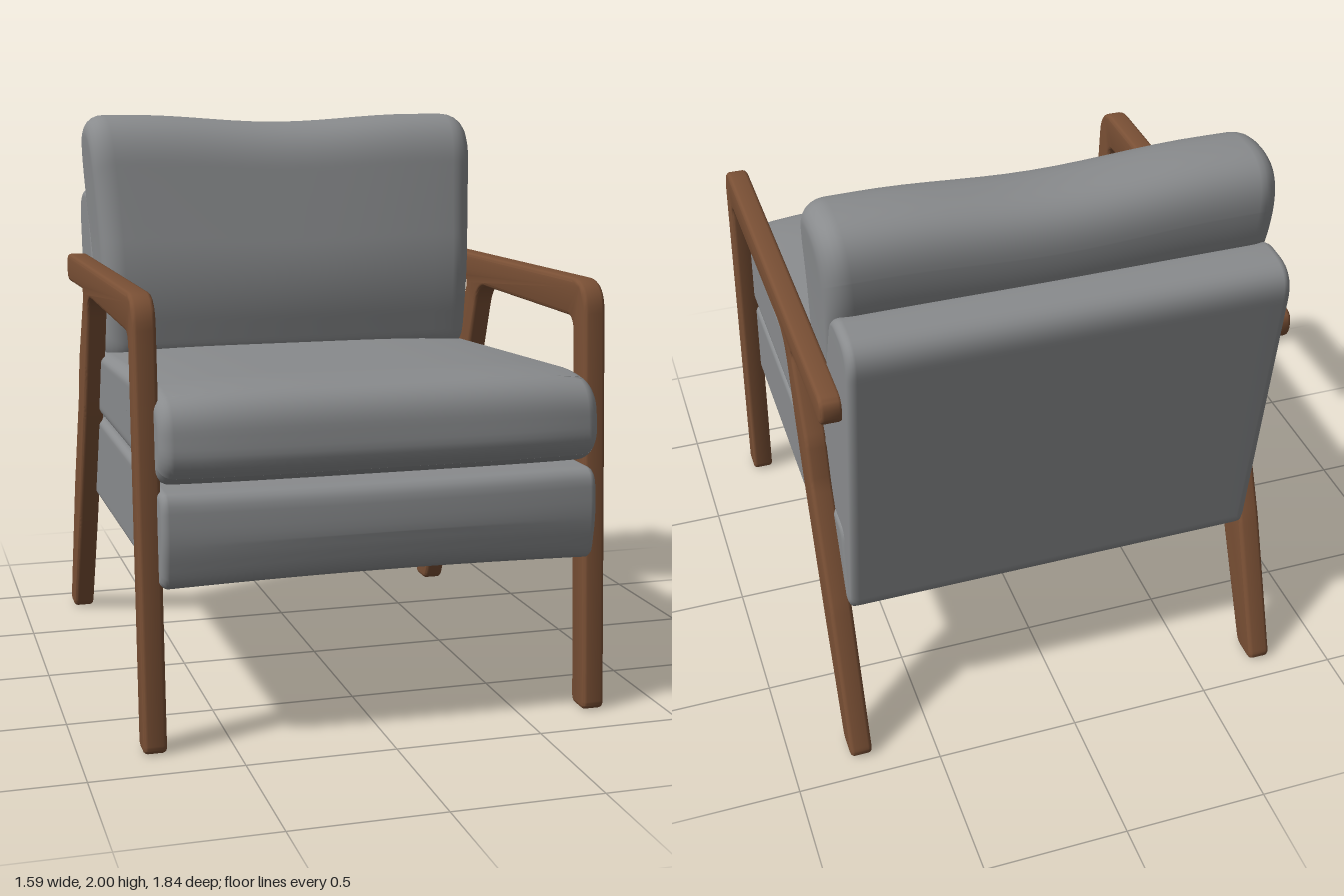
import * as THREE from 'three';
import { toCreasedNormals } from 'three/addons/utils/BufferGeometryUtils.js';

const fabric = new THREE.MeshStandardMaterial({ color: 0x898b8d });
fabric.name = 'grey fabric';
const wood = new THREE.MeshStandardMaterial({ color: 0x7a5035 });
wood.name = 'brown wood';

// Closed side outline from [z, y, cornerLength] points, with rounded corners
function roundedOutline(points) {
  const shape = new THREE.Shape();
  points.forEach(([z, y, r], i) => {
    const corner = new THREE.Vector2(z, y);
    const toward = (p) =>
      corner.clone().add(new THREE.Vector2(p[0] - z, p[1] - y).normalize().multiplyScalar(r));
    const a = toward(points.at(i - 1));
    const b = toward(points[(i + 1) % points.length]);
    if (i === 0) shape.moveTo(a.x, a.y);
    else shape.lineTo(a.x, a.y);
    shape.quadraticCurveTo(z, y, b.x, b.y);
  });
  shape.closePath();
  return shape;
}

// Soft block: a side outline swept across x, its ends rounded by r, then shaped by warp
function cushion(name, outline, half, r, warp = () => {}) {
  const profile = roundedOutline(outline).getSpacedPoints(160).slice(0, -1);
  const box = new THREE.Box2().setFromPoints(profile);
  const mid = box.getCenter(new THREE.Vector2());
  const size = box.getSize(new THREE.Vector2());

  // Rings of one end, from the cap centre outwards: [x, inset, scale]
  const end = [[half, r, 0.001], [half, r, 0.5], [half, r, 0.9]];
  for (let k = 0; k <= 6; k++) {
    const t = (k / 6) * Math.PI / 2;
    end.push([half - r + r * Math.cos(t), r * (1 - Math.sin(t)), 1]);
  }
  const rings = end.map(([x, d, s]) => [-x, d, s]);
  for (let k = 1; k < 16; k++) rings.push([(half - r) * (k / 8 - 1), 0, 1]);
  rings.push(...end.reverse());

  const pos = [], index = [], n = profile.length;
  const v = new THREE.Vector3();
  rings.forEach(([x, d, s], i) => {
    profile.forEach((p, j) => {
      v.set(
        x,
        mid.y + (p.y - mid.y) * s * (1 - 2 * d / size.y),
        mid.x + (p.x - mid.x) * s * (1 - 2 * d / size.x)
      );
      warp(v, x / half);
      pos.push(v.x, v.y, v.z);
      if (i === rings.length - 1) return;
      const a = i * n + j, b = i * n + (j + 1) % n;
      index.push(a, a + n, b, b, a + n, b + n);
    });
  });
  const geo = new THREE.BufferGeometry();
  geo.setAttribute('position', new THREE.Float32BufferAttribute(pos, 3));
  geo.setIndex(index);
  geo.computeVertexNormals();
  const mesh = new THREE.Mesh(geo, fabric);
  mesh.name = name;
  return mesh;
}

// One wooden side: front leg, armrest and raked rear leg in a single outline
function sideFrame(name, x) {
  const shape = roundedOutline([
    [0.85, 0.005, 0.03], [0.765, 1.475, 0.11], [-0.79, 1.465, 0.05], [-0.785, 1.357, 0.05],
    [-0.34, 1.367, 0.05], [-0.5, 1.09, 0.03], [-0.54, 0.94, 0.03], [-0.725, 0.545, 0.03],
    [-0.93, 0.005, 0.045], [-0.805, 0.005, 0.03], [-0.61, 0.41, 0.03], [-0.4, 0.89, 0.03],
    [-0.34, 1.05, 0.03], [-0.235, 1.355, 0.09], [0.67, 1.343, 0.05], [0.745, 0.005, 0.03],
  ]);
  const depth = 0.076, bevel = 0.014;
  const geo = new THREE.ExtrudeGeometry(shape, {
    depth: depth - 2 * bevel, curveSegments: 8,
    bevelThickness: bevel, bevelSize: bevel, bevelOffset: -bevel, bevelSegments: 3,
  });
  geo.translate(0, 0, bevel - depth / 2);
  geo.rotateY(-Math.PI / 2);
  const mesh = new THREE.Mesh(toCreasedNormals(geo, 0.6), wood);
  mesh.name = name;
  mesh.position.x = x;
  return mesh;
}

export function createModel() {
  const chair = new THREE.Group();
  chair.name = 'armchair';

  chair.add(sideFrame('leftFrame', 0.759), sideFrame('rightFrame', -0.759));

  // Upholstered base, its front slightly bowed and its lower front edge arched
  chair.add(cushion('seatBase', [
    [-0.735, 0.53, 0.03], [0.885, 0.55, 0.03], [0.915, 0.7, 0.06],
    [0.9, 0.86, 0.05], [-0.7, 0.86, 0.04],
  ], 0.735, 0.025, (v, u) => {
    if (v.z > 0.6) {
      v.z -= 0.025 * u * u * (v.z - 0.6) / 0.3;
      if (v.y < 0.7) v.y += 0.02 * (1 - u * u) * (v.z - 0.6) / 0.3;
    }
  }));

  // Leaning back panel
  chair.add(cushion('backPanel', [
    [-0.735, 0.53, 0.03], [-0.5, 0.535, 0.03], [-0.42, 1.1, 0.05],
    [-0.685, 1.72, 0.07], [-0.905, 1.71, 0.11],
  ], 0.727, 0.03));

  // Loose seat cushion, falling away towards the sides
  chair.add(cushion('seatCushion', [
    [-0.52, 0.87, 0.05], [0.84, 0.875, 0.06], [0.925, 0.94, 0.06],
    [0.9, 1.16, 0.1], [0.72, 1.195, 0.1], [-0.52, 1.135, 0.05],
  ], 0.738, 0.045, (v, u) => {
    if (v.y > 1) v.y -= 0.15 * (v.y - 1) * u ** 4;
    if (v.z > 0.6) v.z -= 0.03 * u ** 4 * (v.z - 0.6) / 0.3;
  }));

  // Plump back pillow, wider at the top with a dip in the middle
  chair.add(cushion('backPillow', [
    [-0.47, 1.08, 0.06], [-0.3, 1.08, 0.08], [-0.25, 1.4, 0.15],
    [-0.375, 2.005, 0.18], [-0.74, 2.005, 0.17], [-0.735, 1.75, 0.09],
  ], 0.728, 0.08, (v, u) => {
    const lift = (v.y - 1.1) / 0.9;
    v.x *= 0.985 + 0.055 * lift * lift;
    v.y -= 0.028 * lift * Math.cos(Math.min(1, Math.abs(u) / 0.75) * Math.PI / 2) ** 2;
    if (v.z > -0.5) v.z -= 0.12 * (v.z + 0.5) * u * u;
  }));

  return chair;
}
